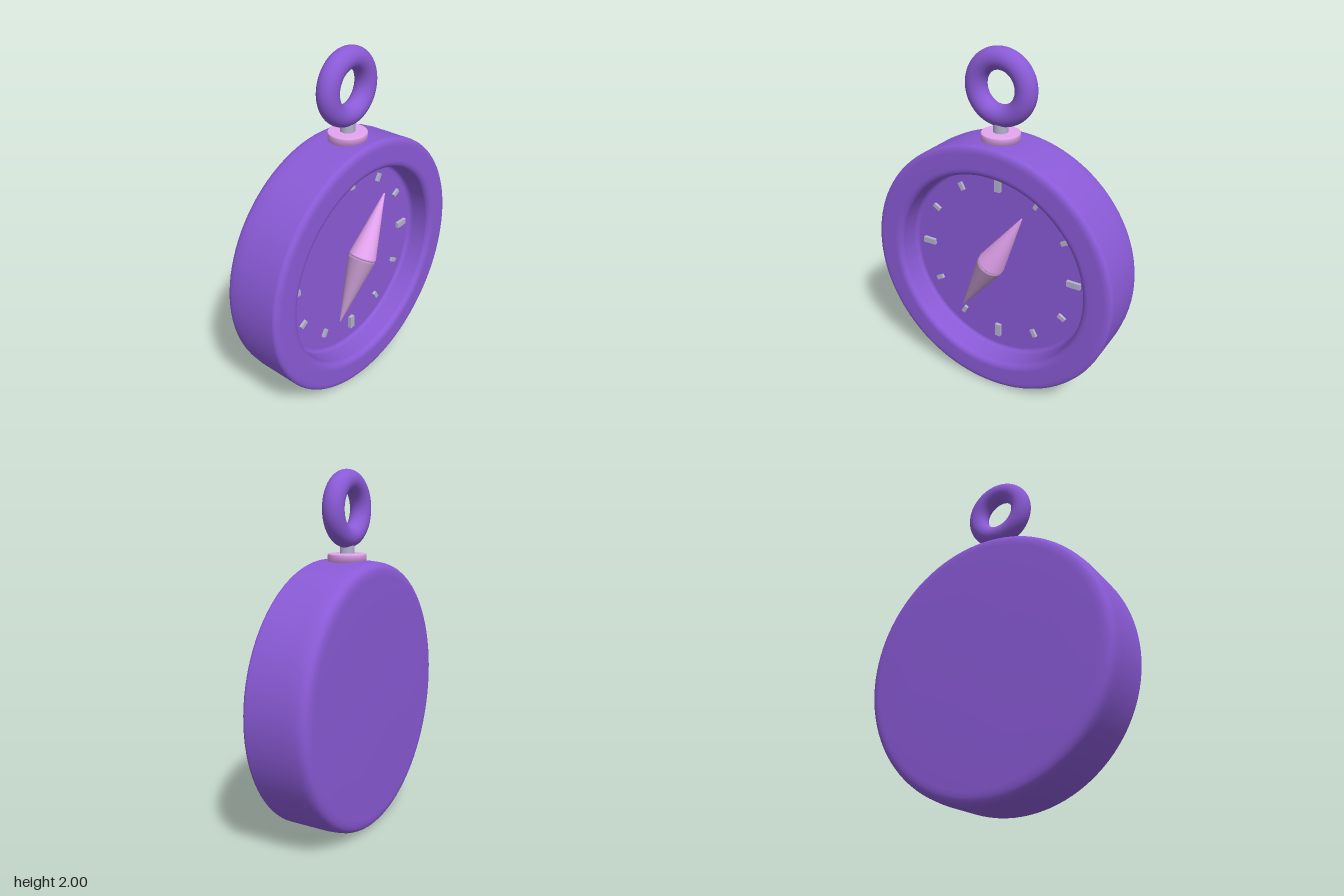
import * as THREE from 'three';

const material = (color) => new THREE.MeshStandardMaterial({ color, roughness: 0.6 });

export function createModel() {
  const group = new THREE.Group();
  const purple = material(0x8a5ad6);
  const pink = material(0xe4a4f0);
  const mauve = material(0xb890c0);
  const grey = material(0xb2b2ca);

  const add = (name, geometry, mat, x = 0, y = 0, z = 0, parent = group) => {
    const mesh = new THREE.Mesh(geometry, mat);
    mesh.name = name;
    mesh.position.set(x, y, z);
    parent.add(mesh);
    return mesh;
  };
  const lathe = (points, segments) =>
    new THREE.LatheGeometry(points.map(([r, y]) => new THREE.Vector2(r, y)), segments);

  // Case: one profile (radius, depth) from the domed back, round the rim, into the recessed dial
  const profile = new THREE.Path();
  profile.moveTo(0, -0.199);
  profile.lineTo(0.45, -0.198);
  profile.lineTo(0.68, -0.191);
  profile.bezierCurveTo(0.725, -0.188, 0.745, -0.18, 0.752, -0.135);
  profile.lineTo(0.757, -0.08);
  profile.lineTo(0.757, 0.15);
  profile.quadraticCurveTo(0.757, 0.178, 0.715, 0.18);
  profile.lineTo(0.63, 0.181);
  profile.quadraticCurveTo(0.594, 0.18, 0.588, 0.15);
  profile.lineTo(0.585, 0.06);
  profile.quadraticCurveTo(0.583, 0.032, 0.56, 0.032);
  profile.lineTo(0, 0.032);
  const body = add('case', new THREE.LatheGeometry(profile.getPoints(8), 96), purple, 0, 0.761, 0);
  body.rotation.x = Math.PI / 2;

  // Twelve hour marks, longer at the quarters
  const marks = new THREE.Group();
  marks.name = 'dialMarks';
  marks.position.set(0, 0.782, 0.037);
  group.add(marks);
  for (let i = 0; i < 12; i++) {
    const a = (i * Math.PI) / 6;
    const size = i % 3 === 0 ? [0.034, 0.08, 0.03] : [0.024, 0.048, 0.022];
    const mark = add('dialMark', new THREE.BoxGeometry(...size), grey,
      Math.sin(a) * 0.478, Math.cos(a) * 0.478, 0, marks);
    mark.rotation.z = -a;
  }

  // Needle: two cones with softened bases, set base to base
  const needle = new THREE.Group();
  needle.name = 'needle';
  needle.position.set(0, 0.804, 0.118);
  needle.rotation.z = -Math.PI / 6;
  group.add(needle);
  const half = lathe([[0, 0], [0.07, 0], [0.077, 0.004], [0.079, 0.012], [0.004, 0.388], [0, 0.39]], 40);
  add('needleNorth', half, pink, 0, 0, 0, needle);
  add('needleSouth', half, mauve, 0, 0, 0, needle).rotation.z = Math.PI;

  // Collar, pin and hanging ring
  add('collar', lathe([[0, 0], [0.106, 0], [0.106, 0.046], [0.104, 0.051], [0.099, 0.053], [0, 0.053]], 48),
    pink, 0, 1.502, 0.011);
  add('pin', new THREE.CylinderGeometry(0.04, 0.04, 0.09, 32), grey, 0, 1.585, 0.011);
  add('ring', new THREE.TorusGeometry(0.149, 0.059, 32, 72), purple, 0, 1.792, 0.009);

  return group;
}
